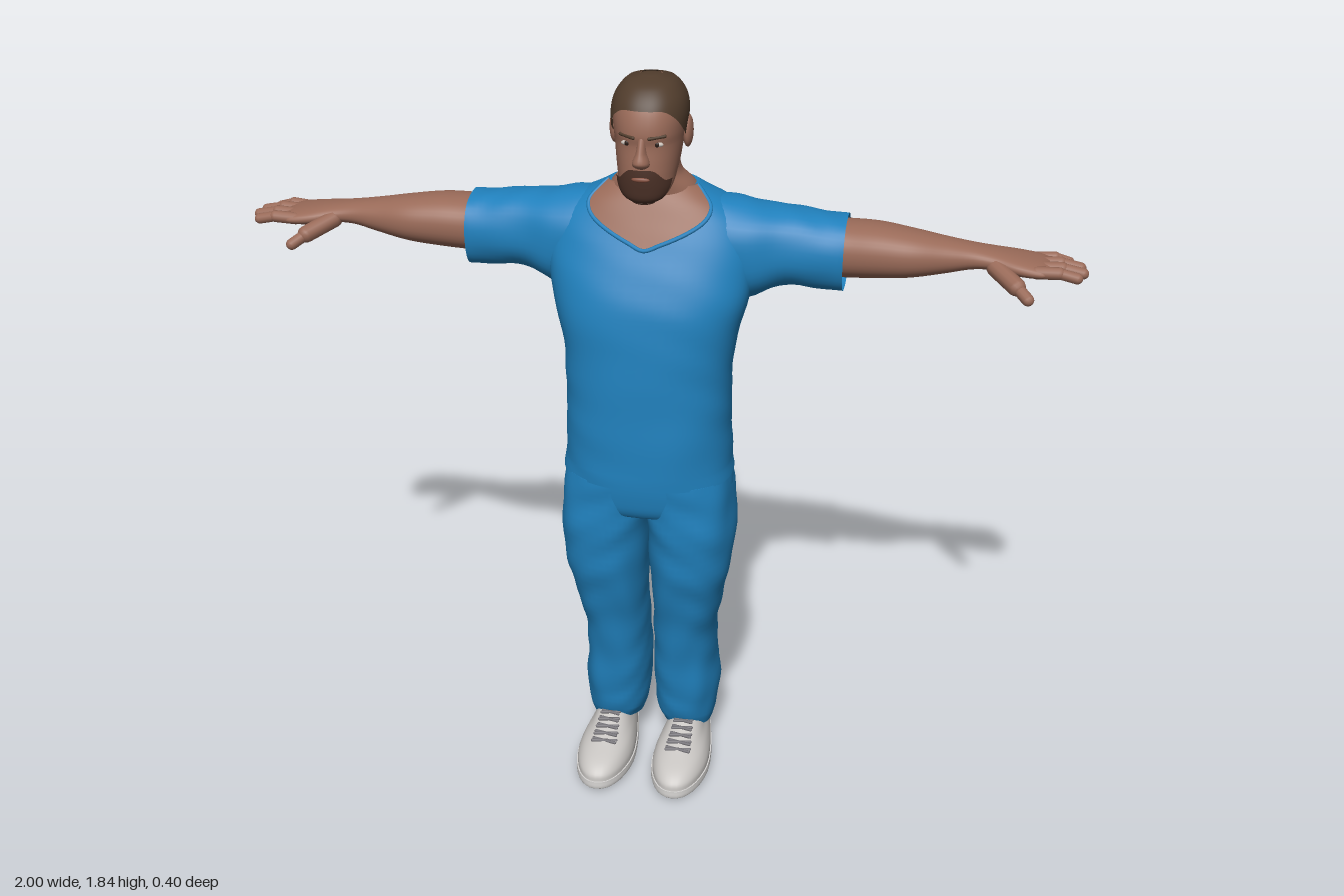
import * as THREE from 'three';

const mat = (name, color, side = THREE.FrontSide) => {
  const m = new THREE.MeshStandardMaterial({ color, side });
  m.name = name;
  return m;
};

// Hermite interpolation of section rows [s, a0, a1, b0, b1]
function extents(rows, s) {
  const last = rows.length - 1;
  let i = 0;
  while (i < last - 1 && s > rows[i + 1][0]) i++;
  const p = rows[i], q = rows[i + 1], h = q[0] - p[0];
  const t = THREE.MathUtils.clamp((s - p[0]) / h, 0, 1), t2 = t * t, t3 = t2 * t;
  const slope = (k, c) => {
    const a = rows[Math.max(k - 1, 0)], b = rows[Math.min(k + 1, last)];
    return (b[c] - a[c]) / (b[0] - a[0]);
  };
  return [1, 2, 3, 4].map((c) => (2 * t3 - 3 * t2 + 1) * p[c] + (t3 - 2 * t2 + t) * h * slope(i, c)
    + (3 * t2 - 2 * t3) * q[c] + (t3 - t2) * h * slope(i + 1, c));
}

// Point on a body of rounded sections; angle 0 faces the front
function surface(rows, { n = 2.2, axis = 'y', ripple = 0, warp } = {}) {
  const pow = (v) => Math.sign(v) * Math.abs(v) ** (2 / n);
  return (t, s, off = 0) => {
    const [a0, a1, b0, b1] = extents(rows, s);
    const fold = 1 + ripple * Math.sin(s * 47 + 2 * Math.sin(t * 2 + s * 9)) * Math.sin(t * 3 + s * 13);
    const a = (a0 + a1) / 2 + ((a1 - a0) / 2 * fold + off) * pow(Math.sin(t));
    const b = (b0 + b1) / 2 + ((b1 - b0) / 2 * fold + off) * pow(Math.cos(t));
    const p = axis === 'y' ? new THREE.Vector3(a, s, b) : new THREE.Vector3(s, a, b);
    if (warp) warp(p);
    return p;
  };
}

function build(points, index) {
  const g = new THREE.BufferGeometry().setFromPoints(points);
  g.setIndex(index);
  g.computeVertexNormals();
  return g;
}

// Closed body through the sections, with optional end caps
function loft(rows, opt = {}) {
  const P = surface(rows, opt), N = opt.sides || 40, K = opt.steps || 5, pts = [], idx = [], levels = [];
  const flip = opt.axis === 'x';
  const tri = (a, b, c) => (flip ? idx.push(a, c, b) : idx.push(a, b, c));
  rows.forEach((r, i) => {
    if (i) for (let k = 1; k <= K; k++) levels.push(rows[i - 1][0] + (r[0] - rows[i - 1][0]) * k / K);
    else levels.push(r[0]);
  });
  levels.forEach((s) => { for (let i = 0; i < N; i++) pts.push(P(i / N * Math.PI * 2, s)); });
  for (let j = 0; j < levels.length - 1; j++) for (let i = 0; i < N; i++) {
    const k = (i + 1) % N, a = j * N + i, b = j * N + k;
    tri(a, b, b + N); tri(a, b + N, a + N);
  }
  if (opt.caps !== false) [0, levels.length - 1].forEach((row, top) => {
    const ring = pts.slice(row * N, row * N + N), base = pts.length;
    const mid = ring.reduce((m, p) => m.add(p), new THREE.Vector3()).divideScalar(N);
    pts.push(...ring.map((p) => p.clone()), mid);
    for (let i = 0; i < N; i++) {
      const k = (i + 1) % N;
      top ? tri(base + N, base + i, base + k) : tri(base + N, base + k, base + i);
    }
  });
  return build(pts, idx);
}

// Thin skin lying over a body between two edge curves
function patch(P, t0, t1, lo, hi, off, U = 48, V = 16) {
  const pts = [], idx = [];
  for (let j = 0; j <= V; j++) for (let i = 0; i <= U; i++) {
    const t = t0 + (t1 - t0) * i / U;
    const p = P(t, lo(t) + (hi(t) - lo(t)) * j / V, off);
    p.y += off * 0.6;
    pts.push(p);
    if (i < U && j < V) {
      const a = j * (U + 1) + i, b = a + U + 1;
      idx.push(a, a + 1, b + 1, a, b + 1, b);
    }
  }
  return build(pts, idx);
}

function capsule(from, to, r) {
  const a = new THREE.Vector3(...from), b = new THREE.Vector3(...to), d = b.clone().sub(a);
  const g = new THREE.CapsuleGeometry(r, d.length(), 5, 12);
  g.applyQuaternion(new THREE.Quaternion().setFromUnitVectors(new THREE.Vector3(0, 1, 0), d.normalize()));
  return g.translate(...a.add(b).multiplyScalar(0.5).toArray());
}

const ball = (x, y, z, rx, ry, rz) => new THREE.SphereGeometry(1, 24, 16).scale(rx, ry, rz).translate(x, y, z);

function mirrored(geo) {
  const g = geo.clone().scale(-1, 1, 1), ix = g.index.array;
  for (let i = 0; i < ix.length; i += 3) [ix[i], ix[i + 1]] = [ix[i + 1], ix[i]];
  return g;
}

export function createModel() {
  const model = new THREE.Group();
  const blue = mat('blue cloth', 0x2080bc, THREE.DoubleSide), skin = mat('skin', 0x996a58, THREE.DoubleSide);
  const hairMat = mat('brown hair', 0x503c2c, THREE.DoubleSide), beardMat = mat('dark beard', 0x4a3026, THREE.DoubleSide);
  const lipMat = mat('lips', 0x85503f), white = mat('eye white', 0xc9c0b8), dark = mat('dark iris', 0x2a1c16);
  const shoeMat = mat('pale shoe', 0xc9c6c3), soleMat = mat('pale sole', 0xd6d4d2), laceMat = mat('grey lace', 0x77757a);
  const add = (name, geo, m) => {
    const mesh = new THREE.Mesh(geo, m);
    mesh.name = name;
    model.add(mesh);
  };
  const pair = (name, geo, m) => { add('left ' + name, geo, m); add('right ' + name, mirrored(geo), m); };

  // Shirt body
  const sym = (rows) => rows.map(([y, rx, zb, zf]) => [y, -rx, rx, zb, zf]);
  const torso = sym([[0.865, 0.209, -0.188, 0.134], [0.9, 0.204, -0.186, 0.136], [1.0, 0.2, -0.178, 0.135],
    [1.1, 0.199, -0.166, 0.131], [1.2, 0.205, -0.168, 0.126], [1.3, 0.23, -0.185, 0.115], [1.38, 0.243, -0.196, 0.088],
    [1.45, 0.245, -0.198, 0.052], [1.5, 0.225, -0.192, 0.026], [1.535, 0.18, -0.18, 0.008],
    [1.558, 0.135, -0.163, -0.006], [1.576, 0.104, -0.148, -0.02]]);
  const torsoOpt = { n: 2.35, ripple: 0.008, sides: 64 };
  add('shirt body', loft(torso, torsoOpt), blue);

  // V neck opening and its trim
  const T = surface(torso, torsoOpt), va = 1.3;
  const vEdge = (t) => 1.45 + 0.126 * Math.min(1, Math.abs(t) / va) ** 0.9;
  add('neck opening', patch(T, -va, va, vEdge, () => 1.577, 0.004), skin);
  const edge = [];
  for (let i = -12; i <= 12; i++) {
    const t = va * i / 12;
    edge.push(T(t, vEdge(t), 0.004));
  }
  add('neck trim', new THREE.TubeGeometry(new THREE.CatmullRomCurve3(edge), 60, 0.005, 8), blue);

  // Sleeves and arms, rows are [x, yLow, yHigh, zBack, zFront]
  pair('sleeve', loft([[0.08, 1.36, 1.56, -0.16, -0.02], [0.16, 1.3, 1.547, -0.188, 0.01], [0.23, 1.305, 1.533, -0.198, 0.005],
    [0.3, 1.335, 1.522, -0.198, -0.012], [0.38, 1.335, 1.513, -0.198, -0.02], [0.448, 1.33, 1.506, -0.2, -0.022]],
  { axis: 'x', caps: false, ripple: 0.02, n: 2.3 }), blue);
  pair('arm', loft([[0.3, 1.36, 1.5, -0.185, -0.03], [0.44, 1.365, 1.497, -0.186, -0.03], [0.52, 1.372, 1.498, -0.178, -0.024],
    [0.6, 1.382, 1.49, -0.16, -0.025], [0.68, 1.396, 1.475, -0.15, -0.045], [0.74, 1.408, 1.464, -0.148, -0.058],
    [0.79, 1.41, 1.456, -0.155, -0.056], [0.84, 1.405, 1.45, -0.163, -0.04], [0.89, 1.406, 1.442, -0.164, -0.034],
    [0.91, 1.412, 1.436, -0.158, -0.04]], { axis: 'x' }), skin);

  // Fingers and thumb
  [[0.955, -0.15, 0.013], [0.98, -0.117, 0.0145], [0.985, -0.082, 0.015], [0.972, -0.049, 0.0145]].forEach(([tip, z, r], i) => {
    const mid = (0.89 + tip) / 2;
    pair('finger ' + (i + 1), capsule([0.88, 1.425, z * 0.95 - 0.005], [mid, 1.428, z], r), skin);
    pair('fingertip ' + (i + 1), capsule([mid, 1.428, z], [tip, 1.419, z], r * 0.88), skin);
  });
  pair('thumb base', capsule([0.79, 1.424, -0.068], [0.84, 1.403, -0.012], 0.021), skin);
  pair('thumb tip', capsule([0.84, 1.403, -0.012], [0.867, 1.386, 0.018], 0.014), skin);

  // Neck and head
  add('neck', loft(sym([[1.5, 0.115, -0.15, 0.0], [1.555, 0.112, -0.152, -0.004], [1.58, 0.095, -0.142, 0.0],
    [1.61, 0.068, -0.126, 0.008], [1.65, 0.062, -0.12, 0.015], [1.69, 0.06, -0.118, 0.01]])), skin);
  const skull = sym([[1.566, 0.022, 0.024, 0.066], [1.577, 0.044, -0.004, 0.075], [1.6, 0.06, -0.045, 0.079],
    [1.63, 0.067, -0.085, 0.081], [1.66, 0.072, -0.106, 0.079], [1.7, 0.077, -0.12, 0.075], [1.725, 0.08, -0.127, 0.078],
    [1.76, 0.082, -0.13, 0.071], [1.79, 0.076, -0.124, 0.057], [1.815, 0.06, -0.107, 0.034],
    [1.828, 0.043, -0.086, 0.01], [1.834, 0.02, -0.058, -0.015]]);
  add('head', loft(skull), skin);
  const H = surface(skull);
  const hairline = (t) => 1.777 - 0.097 * THREE.MathUtils.smoothstep(Math.abs(t), 0.4, 2.1);
  add('hair', patch(H, -Math.PI, Math.PI, hairline, () => 1.834, 0.005, 72), hairMat);
  add('crown', ball(0, 1.834, -0.036, 0.027, 0.005, 0.028), hairMat);

  // Beard and moustache
  const beardTop = (t) => 1.648 - 0.026 * THREE.MathUtils.smoothstep(Math.abs(t), 0.25, 0.9);
  add('beard', patch(H, -1.15, 1.15, () => 1.567, beardTop, 0.004), beardMat);
  add('chin beard', ball(0, 1.568, 0.045, 0.027, 0.006, 0.025), beardMat);
  add('mouth', ball(0, 1.629, 0.083, 0.021, 0.006, 0.006), lipMat);

  // Face
  add('nose', loft(sym([[1.653, 0.012, 0.055, 0.084], [1.66, 0.019, 0.055, 0.097], [1.67, 0.019, 0.055, 0.103],
    [1.69, 0.012, 0.05, 0.094], [1.722, 0.009, 0.05, 0.078]]), { n: 2, sides: 20 }), skin);
  pair('ear', ball(0.084, 1.71, -0.042, 0.012, 0.038, 0.024).rotateZ(0), skin);
  pair('eye', ball(0.034, 1.707, 0.064, 0.014, 0.006, 0.006), white);
  pair('iris', ball(0.034, 1.707, 0.068, 0.0055, 0.0055, 0.003), dark);
  pair('eyebrow', capsule([0.018, 1.722, 0.077], [0.05, 1.725, 0.059], 0.004), hairMat);

  // Trousers
  add('trouser seat', loft(sym([[0.755, 0.15, -0.12, 0.07], [0.775, 0.2, -0.15, 0.1], [0.82, 0.208, -0.163, 0.113],
    [0.89, 0.2, -0.168, 0.118]]), { n: 2.4 }), blue);
  pair('trouser leg', loft([[0.075, 0.03, 0.158, -0.178, 0.0], [0.11, 0.018, 0.166, -0.188, 0.012], [0.2, 0.008, 0.176, -0.198, 0.026],
    [0.3, 0.008, 0.168, -0.19, 0.038], [0.4, 0.01, 0.17, -0.173, 0.053], [0.5, 0.01, 0.188, -0.155, 0.077],
    [0.6, 0.006, 0.207, -0.147, 0.1], [0.7, 0.003, 0.217, -0.158, 0.111], [0.8, -0.01, 0.212, -0.162, 0.114],
    [0.87, -0.01, 0.2, -0.165, 0.112]], {
    n: 2.4, ripple: 0.025, sides: 48,
    warp: (p) => { if (p.y < 0.2) p.y += (p.z + 0.085) * 0.25 * (0.2 - p.y) / 0.125; },
  }), blue);

  // Shoes, narrower towards the heel
  const heel = (p) => { p.x = 0.1 + (p.x - 0.1) * (0.78 + 0.22 * THREE.MathUtils.smoothstep(p.z, -0.12, 0.1)); };
  pair('shoe', loft([[0.025, 0.024, 0.176, -0.186, 0.197], [0.045, 0.025, 0.175, -0.187, 0.192], [0.065, 0.031, 0.167, -0.185, 0.163],
    [0.085, 0.04, 0.155, -0.181, 0.1], [0.105, 0.048, 0.148, -0.176, 0.045], [0.125, 0.054, 0.142, -0.165, 0.0]],
  { warp: heel }), shoeMat);
  pair('sole', loft([[0, 0.03, 0.17, -0.182, 0.19], [0.008, 0.021, 0.179, -0.189, 0.199], [0.028, 0.021, 0.179, -0.189, 0.2]],
    { warp: heel }), soleMat);
  for (let i = 0; i < 5; i++) {
    const z = 0.01 + i * 0.02, y = 0.123 - i * 0.0085, w = 0.022 + i * 0.002;
    pair('lace ' + (i + 1), capsule([0.098 - w, y - 0.006, z - 0.004], [0.098 + w, y - 0.002, z + 0.012], 0.004), laceMat);
    pair('crossed lace ' + (i + 1), capsule([0.098 - w, y - 0.002, z + 0.012], [0.098 + w, y - 0.006, z - 0.004], 0.004), laceMat);
  }
  return model;
}
